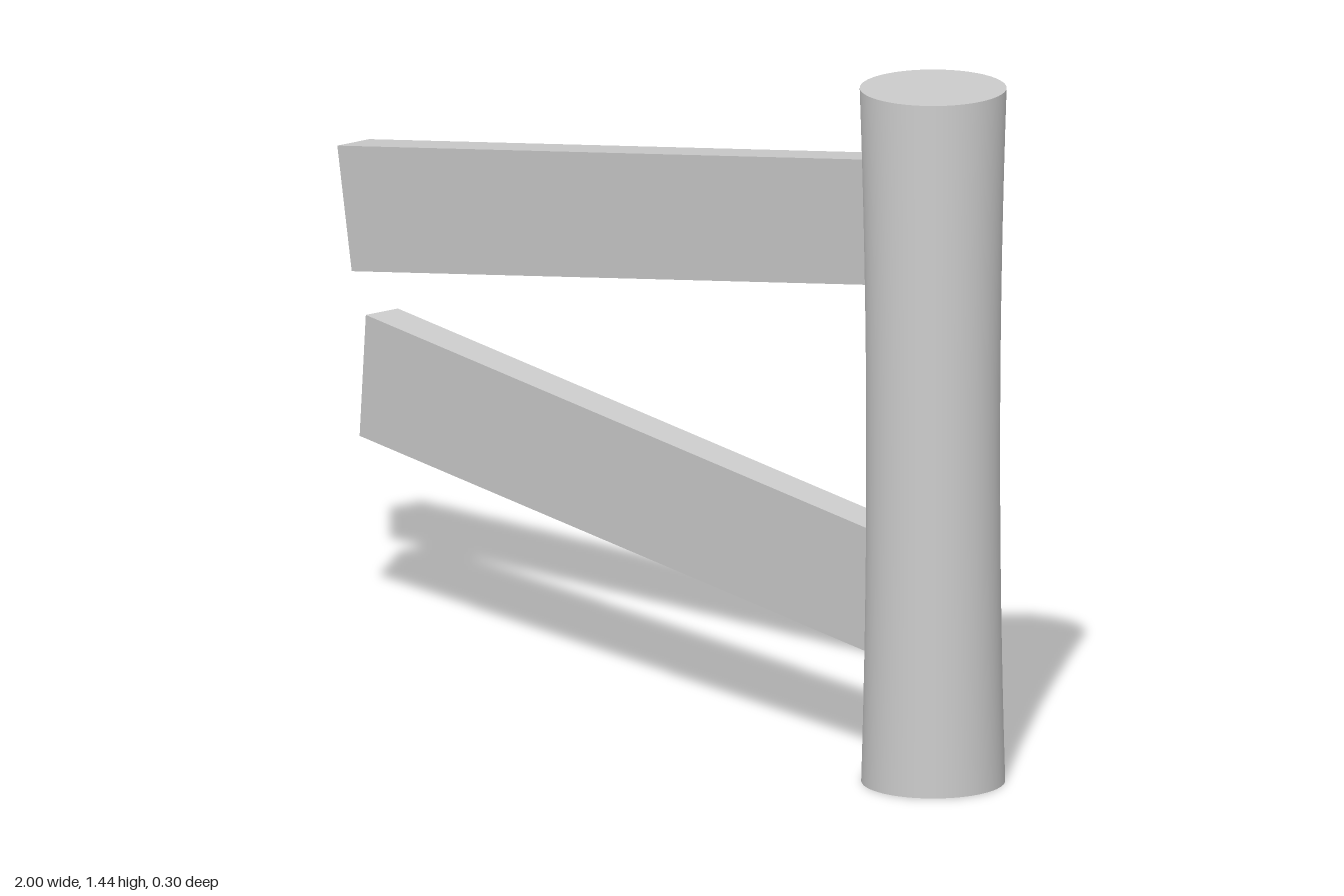
import * as THREE from 'three';

const material = new THREE.MeshStandardMaterial({ color: 0xcccccc });
const POST_X = 0.85;
const POST_HEIGHT = 1.44;

// Round post with a slightly narrowed waist
function createPost() {
  const geometry = new THREE.CylinderGeometry(0.148, 0.145, POST_HEIGHT, 48, 16);
  const pos = geometry.attributes.position;
  for (let i = 0; i < pos.count; i++) {
    const t = pos.getY(i) / (POST_HEIGHT / 2);
    const pinch = 1 - 0.08 * (1 - t * t);
    pos.setX(i, pos.getX(i) * pinch);
    pos.setZ(i, pos.getZ(i) * pinch);
  }
  geometry.computeBoundingSphere();
  const post = new THREE.Mesh(geometry, material);
  post.name = 'post';
  post.position.set(POST_X, POST_HEIGHT / 2, 0);
  return post;
}

// Flat board running from its free end (x, y) into the post's axis
function createPlank(name, x, y, slope) {
  const run = POST_X - x;
  const plank = new THREE.Mesh(new THREE.BoxGeometry(Math.hypot(run, run * slope), 0.256, 0.083), material);
  plank.name = name;
  plank.position.set(x + run / 2, y + (run * slope) / 2, 0);
  plank.rotation.z = Math.atan(slope);
  return plank;
}

export function createModel() {
  const model = new THREE.Group();
  model.name = 'fencePostWithPlanks';
  model.add(
    createPost(),
    createPlank('upperPlank', -0.977, 0.831, 0.1825),
    createPlank('lowerPlank', -0.919, 0.4955, -0.0775)
  );
  return model;
}
